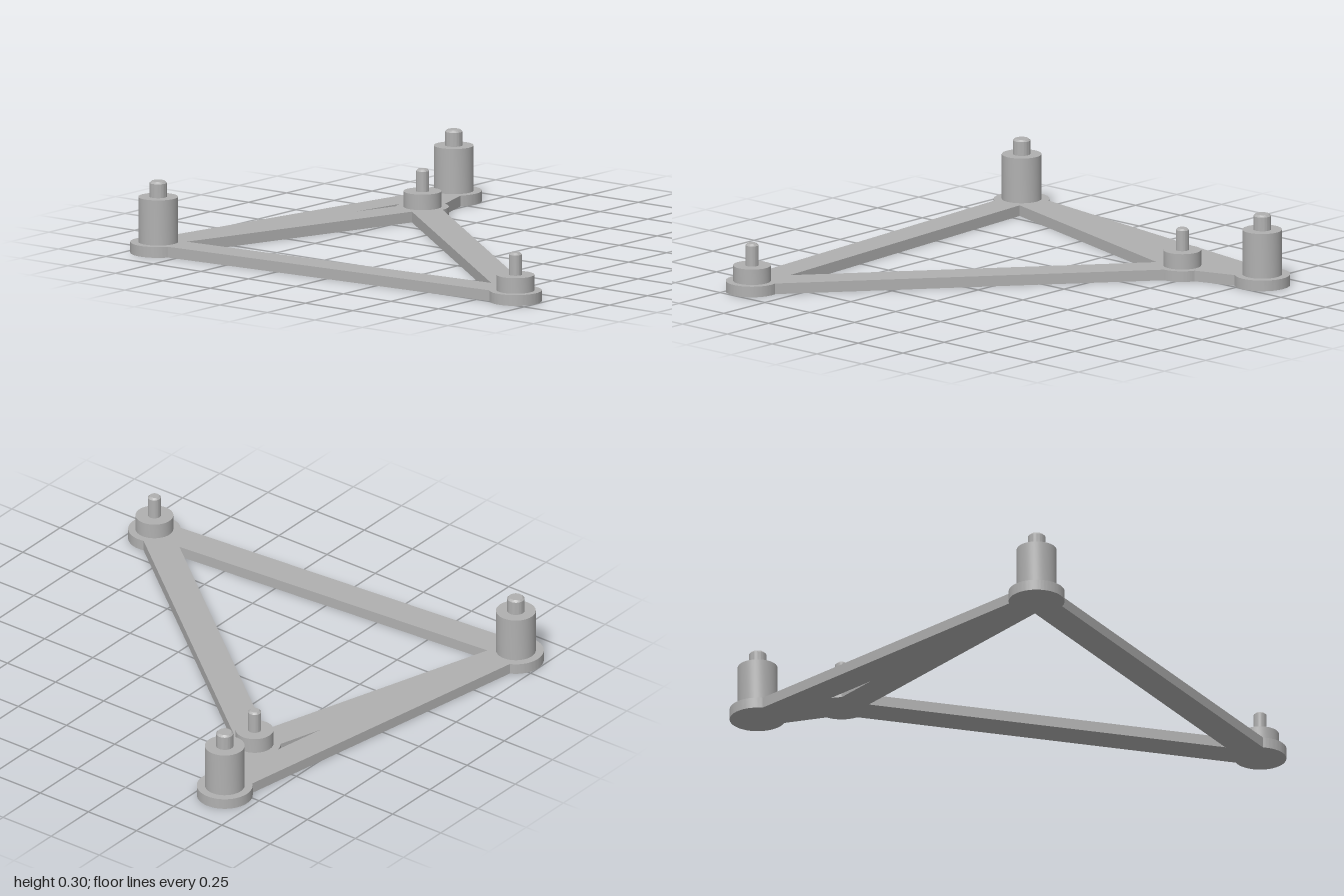
import * as THREE from 'three';
import { toCreasedNormals } from 'three/addons/utils/BufferGeometryUtils.js';

const THICK = 0.045; // plate thickness
const W = 0.066;     // half width of every strut

// Plan positions of the four pads, with y pointing to the back (-z)
const pad = (x, y, r, tall) => ({ p: new THREE.Vector2(x, y), r, tall });
const A = pad(-0.8, 0.885, 0.115, true);
const B = pad(0.797, 0.608, 0.115, true);
const C = pad(0.453, 0.497, 0.108, false);
const D = pad(-0.671, -0.892, 0.108, false);

const dir = (a, b) => b.p.clone().sub(a.p).normalize();

// Inner corner between the struts running from n to a and from n to b
function innerCorner(n, a, b) {
  const u = dir(n, a), v = dir(n, b);
  return u.clone().add(v).multiplyScalar(W / Math.abs(u.cross(v))).add(n.p);
}

// First point where a ray from start meets the rim of a pad
function meetRim(start, d, n) {
  const s = start.clone().sub(n.p), b = s.dot(d);
  const t = -b - Math.sqrt(b * b - s.lengthSq() + n.r * n.r);
  return start.clone().addScaledVector(d, t);
}

function frameGeometry() {
  // Outline: rounded pads joined by straight strut edges
  const shape = new THREE.Shape();
  const ring = [A, D, C, B];
  ring.forEach((n, i) => {
    const back = dir(n, ring[(i + 3) % 4]).angle();
    const ahead = dir(n, ring[(i + 1) % 4]).angle();
    const spread = Math.asin(W / n.r);
    shape.absarc(n.p.x, n.p.y, n.r, back + spread, ahead - spread, false);
  });
  shape.closePath();

  // Large triangular opening
  shape.holes.push(new THREE.Path([
    innerCorner(A, C, D), innerCorner(C, A, D), innerCorner(D, A, C),
  ]));

  // Narrow slit, closed off by the rim of the small pad
  const tip = innerCorner(A, B, C);
  const upper = meetRim(tip, dir(A, B), C), lower = meetRim(tip, dir(A, C), C);
  const slit = new THREE.Path().moveTo(tip.x, tip.y).lineTo(upper.x, upper.y);
  slit.absarc(C.p.x, C.p.y, C.r, upper.clone().sub(C.p).angle(), lower.clone().sub(C.p).angle(), false);
  slit.closePath();
  shape.holes.push(slit);

  const geo = new THREE.ExtrudeGeometry(shape, { depth: THICK, bevelEnabled: false, curveSegments: 32 });
  geo.rotateX(-Math.PI / 2);
  return toCreasedNormals(geo, 0.4);
}

// Turned boss with a chamfered pin on top
function standoffGeometry(bossR, bossTop, pinR, pinTop) {
  const c = 0.008;
  const profile = [
    [bossR, THICK], [bossR, bossTop], [pinR, bossTop],
    [pinR, pinTop - c], [pinR - c, pinTop], [0, pinTop],
  ].map(([r, y]) => new THREE.Vector2(r, y));
  return toCreasedNormals(new THREE.LatheGeometry(profile, 40), 0.4);
}

export function createModel() {
  const model = new THREE.Group();
  model.name = 'mountingFrame';
  const grey = new THREE.MeshStandardMaterial({ color: 0xb0b0b0 });
  grey.name = 'plainGrey';

  const frame = new THREE.Mesh(frameGeometry(), grey);
  frame.name = 'framePlate';
  model.add(frame);

  const tall = standoffGeometry(0.082, 0.234, 0.036, 0.3);
  const short = standoffGeometry(0.078, 0.11, 0.027, 0.203);
  const names = ['backRightStandoff', 'backLeftStandoff', 'innerStandoff', 'frontStandoff'];
  [A, B, C, D].forEach((n, i) => {
    const standoff = new THREE.Mesh(n.tall ? tall : short, grey);
    standoff.name = names[i];
    standoff.position.set(n.p.x, 0, -n.p.y);
    model.add(standoff);
  });
  return model;
}
